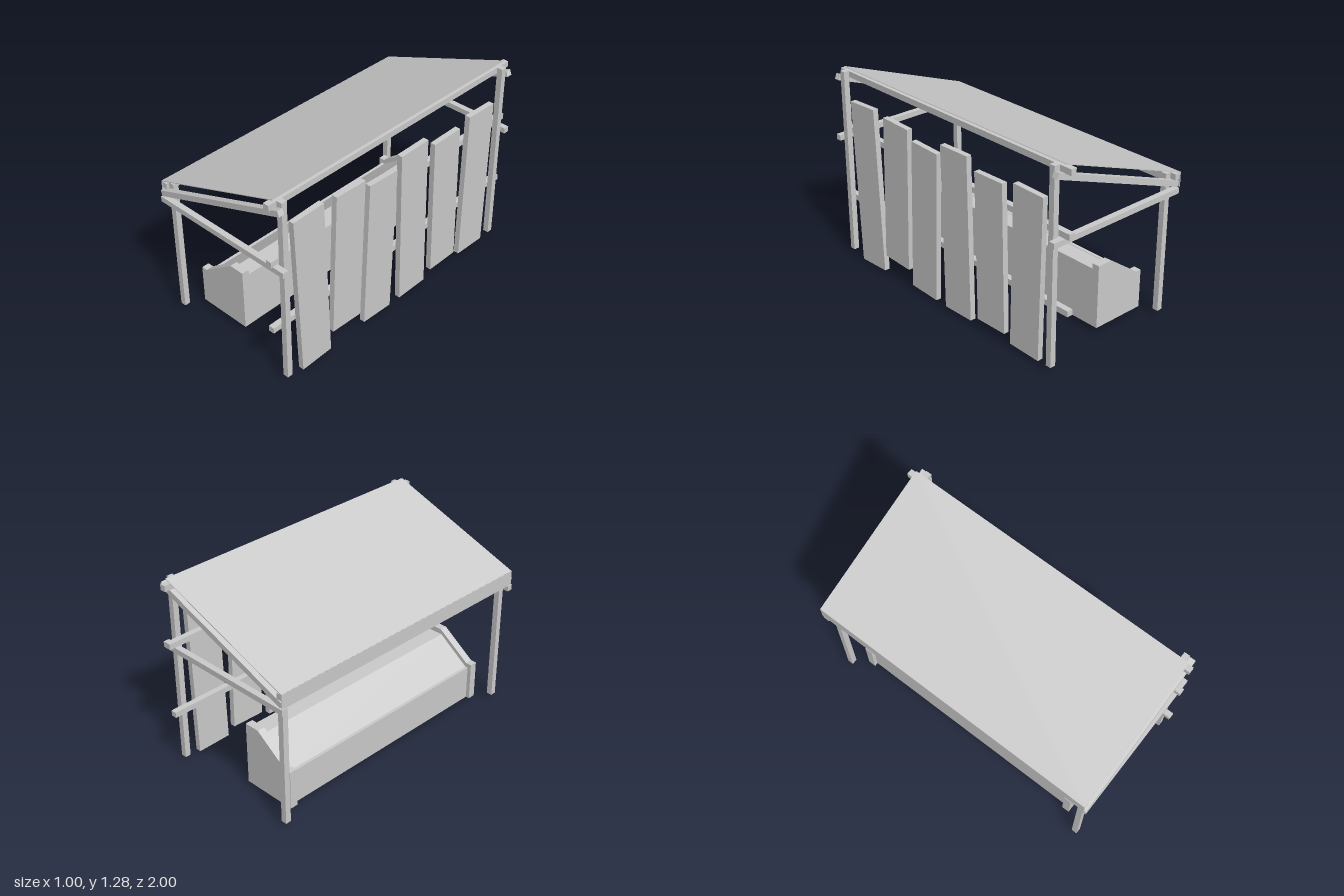
import * as THREE from 'three';

const mat = new THREE.MeshStandardMaterial({ color: 0xcccccc, flatShading: true });

export function createModel() {
  const root = new THREE.Group();
  root.name = 'leanToShelter';

  const add = (geo, name, x = 0, y = 0, z = 0) => {
    const mesh = new THREE.Mesh(geo, mat);
    mesh.name = name;
    mesh.position.set(x, y, z);
    root.add(mesh);
    return mesh;
  };
  // Box given by its limits on each axis
  const box = (name, x0, x1, y0, y1, z0, z1) =>
    add(new THREE.BoxGeometry(x1 - x0, y1 - y0, z1 - z0), name,
      (x0 + x1) / 2, (y0 + y1) / 2, (z0 + z1) / 2);
  // Bar in the x-y plane running between two points
  const bar = (name, ax, ay, bx, by, thick, z0, z1) => {
    const m = add(new THREE.BoxGeometry(Math.hypot(bx - ax, by - ay), thick, z1 - z0), name,
      (ax + bx) / 2, (ay + by) / 2, (z0 + z1) / 2);
    m.rotation.z = Math.atan2(by - ay, bx - ax);
    return m;
  };
  // Profile in x-y pushed along z
  const prism = (name, pts, z0, z1) => {
    const shape = new THREE.Shape(pts.map(([x, y]) => new THREE.Vector2(x, y)));
    return add(new THREE.ExtrudeGeometry(shape, { depth: z1 - z0, bevelEnabled: false }), name, 0, 0, z0);
  };

  // Two end frames: short post, tall post, tie beam and sloping rafter outside the posts
  const ends = [
    { name: 'front', post: [0.909, 0.946], beam: [0.946, 0.983] },
    { name: 'back', post: [-0.922, -0.885], beam: [-0.96, -0.922] },
  ];
  for (const { name, post, beam } of ends) {
    box(name + 'ShortPost', -0.459, -0.422, 0.037, 0.94, ...post);
    box(name + 'TallPost', 0.43, 0.467, 0.037, 1.265, ...post);
    box(name + 'TieBeam', -0.497, 0.498, 0.808, 0.843, ...beam);
    bar(name + 'Rafter', -0.488, 0.869, 0.478, 1.224, 0.036, ...beam);
  }

  // Long rails
  box('highPurlin', 0.387, 0.425, 1.222, 1.26, -1, 1);
  box('upperRail', 0.387, 0.425, 0.849, 0.886, -1, 1);
  box('lowerRail', 0.387, 0.425, 0.384, 0.42, -1, 1);
  box('lowPurlin', -0.495, -0.459, 0.9, 0.938, -0.96, 0.965);

  // Thin roof sheet with a turned-down flap at the low edge
  bar('roofSheet', -0.497, 0.942, 0.425, 1.278, 0.005, -0.963, 0.967);
  box('roofFlap', -0.5, -0.496, 0.85, 0.943, -0.963, 0.967);

  // Crooked wall planks: top centre (z, y), bottom centre (z, y)
  const planks = [
    [0.748, 1.093, 0.703, 0.008],
    [0.421, 1.076, 0.454, 0.126],
    [0.154, 1.010, 0.189, 0.026],
    [-0.109, 1.080, -0.129, 0.023],
    [-0.403, 1.017, -0.421, 0.070],
    [-0.721, 1.053, -0.700, 0.029],
  ];
  planks.forEach(([tz, ty, bz, by], i) => {
    const p = add(new THREE.BoxGeometry(0.036, Math.hypot(tz - bz, ty - by), 0.229),
      'wallPlank' + (i + 1), 0.443, (ty + by) / 2, (tz + bz) / 2);
    p.rotation.x = Math.atan2(tz - bz, ty - by);
  });

  // Trough: raised end panels with a lower body and sloping lid between them
  const panel = [[-0.38, 0.037], [-0.016, 0.037], [-0.016, 0.449], [-0.118, 0.449], [-0.34, 0.29], [-0.38, 0.29]];
  const body = [[-0.355, 0.037], [-0.016, 0.037], [-0.016, 0.415], [-0.125, 0.415], [-0.335, 0.262], [-0.355, 0.262]];
  prism('troughBackEnd', panel, -0.81, -0.76);
  prism('troughFrontEnd', panel, 0.775, 0.825);
  prism('troughBody', body, -0.76, 0.775);

  return root;
}
